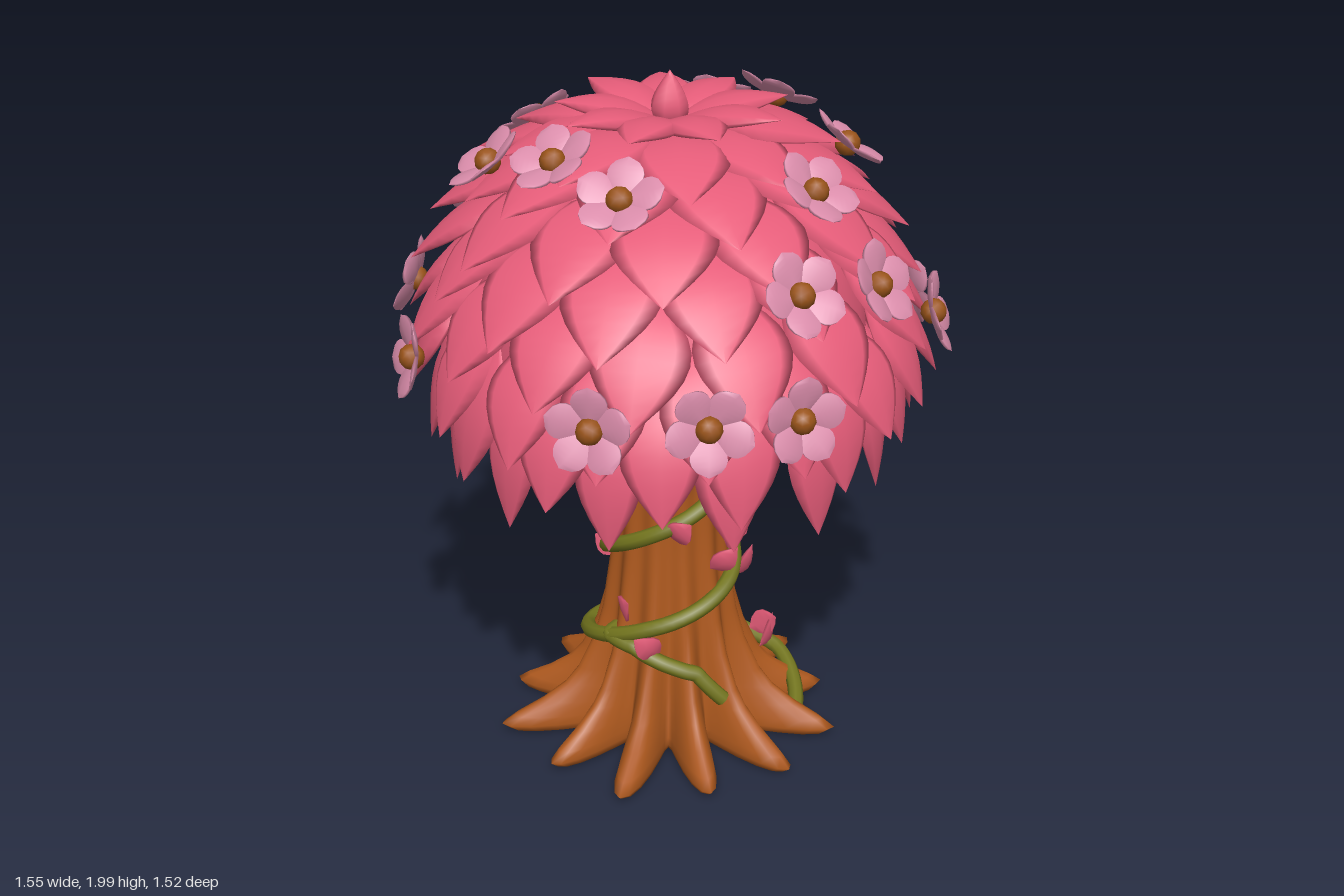
import * as THREE from 'three';
import { mergeGeometries } from 'three/addons/utils/BufferGeometryUtils.js';

const V = (x, y, z) => new THREE.Vector3(x, y, z);
const around = (phi, r, y) => V(Math.sin(phi) * r, y, Math.cos(phi) * r);

// Skin a list of closed rings, each an array of Vector3
function loft(rings) {
  const n = rings[0].length, index = [];
  for (let i = 0; i < rings.length - 1; i++) {
    for (let j = 0; j < n; j++) {
      const k = (j + 1) % n, a = i * n + j, b = i * n + k;
      index.push(a, b, b + n, a, b + n, a + n);
    }
  }
  const g = new THREE.BufferGeometry().setFromPoints(rings.flat());
  g.setIndex(index);
  g.computeVertexNormals();
  return g;
}

// Lens-sectioned leaf from base to tip; skew moves the widest point to the tip
function leaf(base, tip, outward, { w, t, bulge = 0, skew = 0.9, round = 1, steps = 10, sides = 8 }) {
  const L = tip.clone().sub(base).normalize();
  const out = outward.clone().addScaledVector(L, -outward.dot(L)).normalize();
  const side = L.clone().cross(out);
  const rings = [];
  for (let i = 0; i <= steps; i++) {
    const u = i / steps;
    const s = Math.pow(Math.max(0, Math.sin(Math.PI * Math.pow(u, skew))), round);
    const c = base.clone().lerp(tip, u).addScaledVector(out, bulge * 4 * u * (1 - u));
    rings.push(Array.from({ length: sides }, (_, j) => {
      const a = (j / sides) * Math.PI * 2;
      return c.clone().addScaledVector(side, w * s * Math.sin(a)).addScaledVector(out, t * s * Math.cos(a));
    }));
  }
  return loft(rings);
}

// Trunk profile: height, valley radius, crest radius
const PROFILE = [
  [0.06, 0.0, 0.0], [0.015, 0.17, 0.41], [0.015, 0.21, 0.47], [0.035, 0.225, 0.495], [0.06, 0.225, 0.46],
  [0.1, 0.22, 0.385], [0.15, 0.21, 0.315], [0.2, 0.2, 0.275], [0.3, 0.185, 0.228], [0.4, 0.175, 0.2],
  [0.6, 0.158, 0.17], [0.8, 0.152, 0.16], [0.92, 0.16, 0.178], [1.0, 0.18, 0.22], [1.06, 0.2, 0.28],
  [1.11, 0.22, 0.36], [1.16, 0.25, 0.45], [1.21, 0.28, 0.505], [1.27, 0.3, 0.515], [1.33, 0.31, 0.47],
  [1.4, 0.22, 0.3], [1.44, 0.0, 0.0]
];

function trunkRadius(y) {
  let i = 2;
  while (i < PROFILE.length - 2 && PROFILE[i + 1][0] < y) i++;
  const [y0, , r0] = PROFILE[i], [y1, , r1] = PROFILE[i + 1];
  return Math.min(0.37, r0 + (r1 - r0) * THREE.MathUtils.clamp((y - y0) / (y1 - y0), 0, 1));
}

// Vine wound round the trunk through [angle, height] stops
function vine(stops) {
  const pts = [];
  for (let i = 0; i < stops.length - 1; i++) {
    const [a0, y0] = stops[i], [a1, y1] = stops[i + 1];
    for (let k = 0; k < 6; k++) {
      const y = y0 + (y1 - y0) * k / 6;
      pts.push(around(a0 + (a1 - a0) * k / 6, trunkRadius(y) + 0.01, y));
    }
  }
  const [a, y] = stops[stops.length - 1];
  pts.push(around(a, trunkRadius(y) - 0.03, y));
  return new THREE.TubeGeometry(new THREE.CatmullRomCurve3(pts), 90, 0.023, 8);
}

export function createModel() {
  const group = new THREE.Group();
  const material = (name, color, extra = {}) => new THREE.MeshStandardMaterial({ name, color, ...extra });
  const bark = material('bark brown', 0xae591e);
  const pink = material('leaf pink', 0xe65c79, { side: THREE.DoubleSide });
  const green = material('vine green', 0x74761e);
  const petalPink = material('petal pink', 0xdb8dab);
  const amber = material('flower centre brown', 0x9a541a);
  const add = (name, geometry, mat, parent = group) => {
    const m = new THREE.Mesh(geometry, mat);
    m.name = name;
    parent.add(m);
    return m;
  };
  let seed = 7;
  const jitter = (amount) => {
    seed = (seed * 16807) % 2147483647;
    return (seed / 2147483647 - 0.5) * 2 * amount;
  };

  // Trunk with twelve tapering roots below and twelve rounded branches above
  const trunkRings = PROFILE.map(([y, valley, crest]) =>
    Array.from({ length: 144 }, (_, j) => {
      const a = (j / 144) * Math.PI * 2;
      const lobe = y > 0.95 ? Math.abs(Math.cos(6 * a)) : 0.5 + 0.5 * Math.cos(12 * a);
      const vary = 1 + 0.04 * Math.sin(5 * a + 1) * (crest - valley) / 0.25;
      return around(a, (valley + (crest - valley) * lobe) * vary, y);
    }));
  add('trunk', loft(trunkRings), bark);

  // Canopy core closing the gaps between leaves
  const core = [[0.54, 1.3], [0.53, 1.4], [0.48, 1.55], [0.38, 1.68], [0.24, 1.79], [0, 1.85]];
  add('canopyCore', new THREE.LatheGeometry(core.map(([r, y]) => new THREE.Vector2(r, y)), 40), pink);

  // Leaf tiers: base radius, base height, tip radius, tip height, count, half width
  const tiers = [
    [0.01, 1.86, 0.32, 1.905, 9, 0.085], [0.08, 1.86, 0.46, 1.8, 9, 0.13], [0.18, 1.82, 0.56, 1.7, 11, 0.135],
    [0.28, 1.76, 0.64, 1.58, 12, 0.14], [0.38, 1.67, 0.695, 1.45, 14, 0.135], [0.47, 1.56, 0.725, 1.3, 15, 0.13],
    [0.54, 1.44, 0.735, 1.13, 17, 0.115], [0.55, 1.36, 0.68, 1.0, 15, 0.11], [0.53, 1.3, 0.61, 0.88, 13, 0.095]
  ];
  tiers.forEach(([br, by, tr, ty, count, w], tier) => {
    const leaves = [];
    for (let i = 0; i < count; i++) {
      const a = ((i + (tier % 2) * 0.5) / count) * Math.PI * 2 + (tier ? jitter(0.05) : 0);
      const base = around(a, br, by);
      const tip = around(a + jitter(0.04), tr + jitter(0.015), ty + jitter(tier ? 0.025 : 0.008));
      const out = around(a, Math.max(by - ty, 0), tr - br);
      leaves.push(leaf(base, tip, out, { w, t: 0.024, bulge: tier ? 0.018 : 0.012 }));
    }
    add('leafTier' + (tier + 1), mergeGeometries(leaves), pink);
  });
  add('topBud', leaf(V(0, 1.83, 0), V(0, 2, 0), V(0, 0, 1), { w: 0.052, t: 0.052, skew: 0.75 }), pink);

  // Vines
  const P = Math.PI;
  add('lowerVine', vine([[-1.5 * P, 0.03], [-1.2 * P, 0.13], [-P, 0.21], [-0.5 * P, 0.27], [0, 0.41],
    [0.5 * P, 0.53], [P, 0.7], [1.5 * P, 0.88], [1.7 * P, 0.95]]), green);
  add('upperVine', vine([[-0.92 * P, 0.46], [-0.5 * P, 0.55], [0, 0.7], [0.5 * P, 0.84], [P, 0.98], [1.3 * P, 1.04]]), green);
  add('vineShoot', vine([[0.85, 0.2], [0.6, 0.28], [-0.2, 0.35], [-0.7, 0.36]]), green);

  // Small leaves along the vines: angle, height
  const sprigs = [[-0.5, 0.75], [0.3, 0.69], [1.95, 0.64], [1.0, 0.57], [2.3, 0.57], [-0.45, 0.44], [0.15, 0.34],
    [1.95, 0.21], [2.25, 0.23], [1.7, 0.94], [2.4, 0.95], [-2, 0.48], [-2.6, 0.73], [1.8, 0.48], [1.45, 0.63]];
  add('vineLeaves', mergeGeometries(sprigs.map(([a, y], i) => {
    const r = trunkRadius(y), turn = i % 2 ? 0.25 : -0.25;
    return leaf(around(a, r, y), around(a + turn, r + 0.06, y + 0.07), around(a, 1, 0.3),
      { w: 0.045, t: 0.008, bulge: 0.01, steps: 5, sides: 6 });
  })), pink);

  // Five-petalled flowers, repeated by a half turn about the trunk
  const petals = mergeGeometries(Array.from({ length: 5 }, (_, i) => {
    const a = (i / 5) * P * 2;
    const d = V(Math.sin(a), Math.cos(a), 0);
    return leaf(d.clone().multiplyScalar(0.008), d.clone().multiplyScalar(0.118).setZ(0.03), V(0, 0, 1),
      { w: 0.055, t: 0.008, bulge: -0.003, skew: 1.3, round: 0.6, steps: 8, sides: 6 });
  }));
  const centre = new THREE.IcosahedronGeometry(0.036, 1);
  const spots = [[0, 1.78, 0.44], [-0.2, 1.83, 0.35], [0.43, 1.76, 0.19], [0.43, 1.76, -0.2], [0.45, 1.57, 0.41],
    [0.6, 1.53, 0.19], [0.7, 1.36, -0.08], [0.48, 1.28, 0.5], [0.28, 1.29, 0.63], [0, 1.28, 0.7], [0.58, 1.28, -0.41]];
  spots.forEach(([x, y, z], i) => {
    for (const s of [1, -1]) {
      const flower = new THREE.Group();
      flower.name = 'flower';
      const p = V(x * s, y, z * s);
      const n = p.clone().sub(V(0, 1.15, 0)).normalize();
      flower.position.copy(p).addScaledVector(n, 0.012);
      flower.lookAt(flower.position.clone().add(n));
      flower.rotateZ(i * 0.7);
      add('petals', petals, petalPink, flower);
      add('flowerCentre', centre, amber, flower).position.z = 0.006;
      group.add(flower);
    }
  });
  return group;
}
